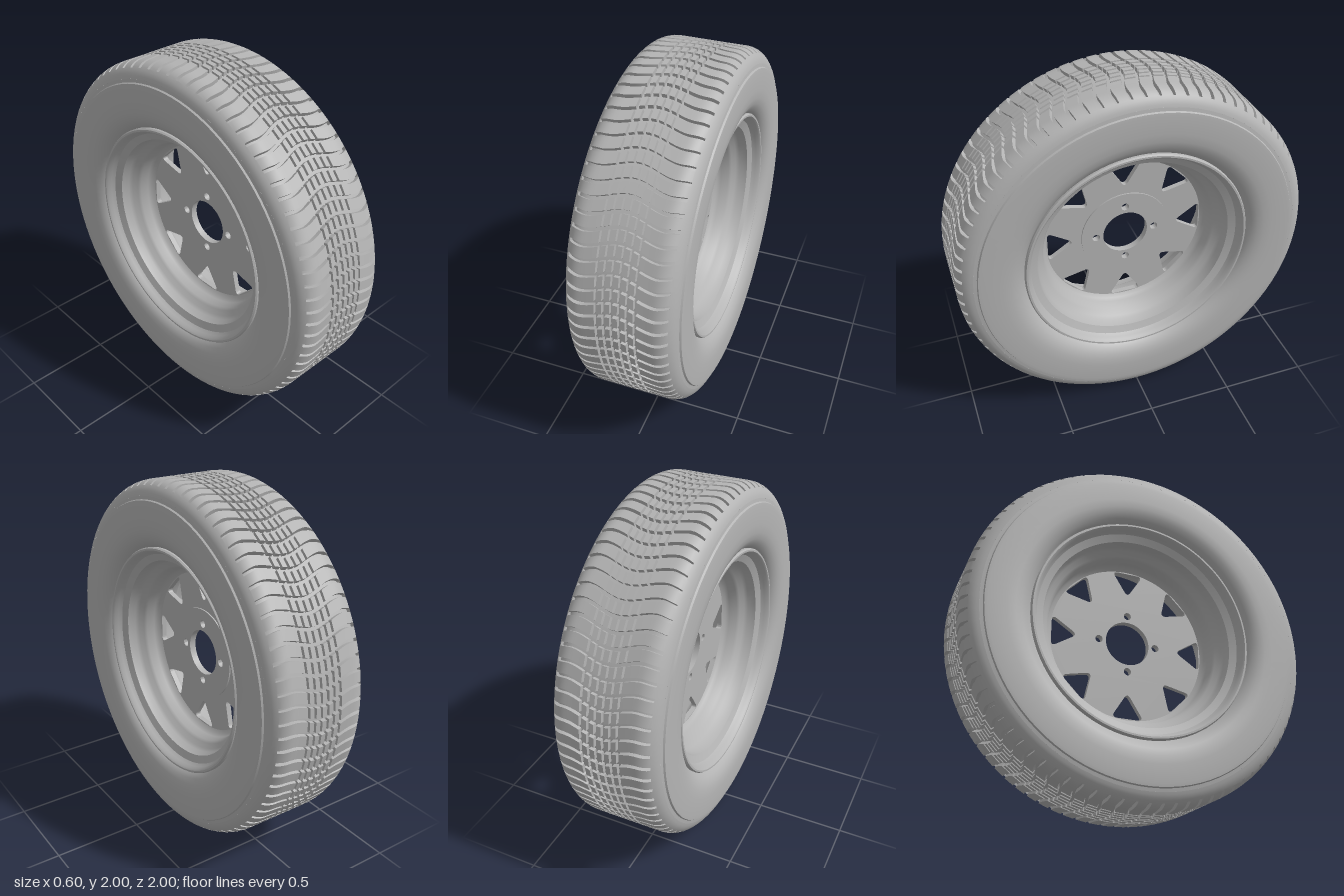
import * as THREE from 'three';
import { toCreasedNormals } from 'three/addons/utils/BufferGeometryUtils.js';

const grey = new THREE.MeshStandardMaterial({ color: 0xb4b4b4, side: THREE.DoubleSide });
grey.name = 'grey';

function part(name, geometry, crease = 0.5) {
  const mesh = new THREE.Mesh(toCreasedNormals(geometry, crease), grey);
  mesh.name = name;
  return mesh;
}

// Revolve a profile of [x, radius] pairs around the x axis
function revolve(name, profile) {
  const pts = profile.map(([x, r]) => new THREE.Vector2(r, x));
  const geometry = new THREE.LatheGeometry(pts, 96);
  geometry.rotateZ(-Math.PI / 2);
  return part(name, geometry);
}

const mirrored = (profile) => profile.map(([x, r]) => [-x, r]).reverse();

// Tread: a grid whose rows follow the wavy cross grooves
function treadGeometry() {
  const pitches = 84, depth = 0.022, wall = 0.0015, grooveWidth = 0.02;
  const half = [];
  for (const c of [0.02, 0.06, 0.1]) {
    half.push([c - 0.007, 0], [c - 0.006, 1], [c + 0.006, 1], [c + 0.007, 0]);
  }
  for (const x of [0.125, 0.145, 0.165, 0.19, 0.21, 0.23, 0.245, 0.258, 0.26, 0.27, 0.278, 0.284, 0.288]) {
    half.push([x, 0]);
  }
  const columns = [...half.map(([x, d]) => [-x, d]).reverse(), ...half];

  const radius = (x) => {
    const t = Math.max(0, Math.abs(x) - 0.19) / 0.1;
    return 0.9 + 0.1 * Math.sqrt(Math.max(0, 1 - t * t));
  };
  const wave = (x) => {
    const a = Math.abs(x);
    return a < 0.2 ? 0.023 * (1 + Math.cos(Math.PI * a / 0.2)) : 0.15 * (a - 0.2);
  };

  const rows = [[0, 0], [wall, 1], [grooveWidth - wall, 1], [grooveWidth, 0]];
  const positions = [], index = [];
  const n = columns.length, total = pitches * rows.length;
  for (let i = 0; i < total; i++) {
    const [s, cross] = rows[i % rows.length];
    const start = Math.floor(i / rows.length) * 2 * Math.PI / pitches;
    for (let j = 0; j < n; j++) {
      const [x, ring] = columns[j];
      const cut = ring || (cross && Math.abs(x) < 0.259);
      const r = radius(x) - (cut ? depth : 0);
      const angle = start + s + wave(x);
      positions.push(x, r * Math.sin(angle), r * Math.cos(angle));
      if (j < n - 1) {
        const a = i * n + j, d = ((i + 1) % total) * n + j;
        index.push(a, a + 1, d + 1, a, d + 1, d);
      }
    }
  }
  const geometry = new THREE.BufferGeometry();
  geometry.setAttribute('position', new THREE.Float32BufferAttribute(positions, 3));
  geometry.setIndex(index);
  return geometry;
}

function circlePath(x, y, r) {
  return new THREE.Path().absarc(x, y, r, 0, Math.PI * 2, true);
}

// Rounded triangular window pointing at the hub
function windowPath(angle) {
  const corners = [[0.456, 0.097], [0.456, -0.097], [0.303, 0]].map(([x, y]) =>
    new THREE.Vector2(x, y).rotateAround(new THREE.Vector2(), angle));
  const path = new THREE.Path();
  corners.forEach((p, i) => {
    const before = p.clone().lerp(corners[(i + 2) % 3], 0.2);
    const after = p.clone().lerp(corners[(i + 1) % 3], 0.2);
    if (i === 0) path.moveTo(before.x, before.y);
    else path.lineTo(before.x, before.y);
    path.quadraticCurveTo(p.x, p.y, after.x, after.y);
  });
  path.closePath();
  return path;
}

// Flat plate across the axle with the centre bore and bolt holes
function plate(name, radius, x, thickness, windows) {
  const shape = new THREE.Shape().absarc(0, 0, radius, 0, Math.PI * 2, false);
  shape.holes.push(circlePath(0, 0, 0.132));
  for (let i = 0; i < 4; i++) {
    const a = i * Math.PI / 2;
    shape.holes.push(circlePath(0.174 * Math.cos(a), 0.174 * Math.sin(a), 0.022));
  }
  for (let i = 0; i < windows; i++) shape.holes.push(windowPath(i * 2 * Math.PI / windows));
  const geometry = new THREE.ExtrudeGeometry(shape, {
    depth: thickness, bevelEnabled: false, curveSegments: 32,
  });
  geometry.rotateY(Math.PI / 2);
  geometry.translate(x, 0, 0);
  return part(name, geometry);
}

export function createModel() {
  const model = new THREE.Group();
  model.name = 'wheel';
  const wheel = new THREE.Group();
  wheel.name = 'tyreAndRim';
  wheel.position.y = 1;
  model.add(wheel);

  // Tyre
  wheel.add(part('tread', treadGeometry()));
  const sidewall = [
    [0.288, 0.92], [0.291, 0.902], [0.3, 0.897], [0.302, 0.88], [0.302, 0.78], [0.299, 0.735],
    [0.29, 0.7], [0.274, 0.67], [0.255, 0.652], [0.235, 0.64],
  ];
  wheel.add(revolve('leftSidewall', sidewall));
  wheel.add(revolve('rightSidewall', mirrored(sidewall)));

  // Rim: flange, bead seat, drop and fillet down to the centre disc
  const rim = [
    [0.235, 0.642], [0.255, 0.643], [0.264, 0.637], [0.264, 0.627], [0.255, 0.618], [0.235, 0.612],
    [0.215, 0.6], [0.203, 0.575], [0.196, 0.56], [0.15, 0.552], [0.13, 0.54], [0.11, 0.515],
    [0.095, 0.503], [0.05, 0.494], [0.03, 0.484], [0.015, 0.464],
  ];
  wheel.add(revolve('leftRim', rim));
  wheel.add(revolve('rightRim', mirrored(rim)));

  // Centre disc and raised hub plate
  wheel.add(plate('centreDisc', 0.49, -0.015, 0.03, 8));
  wheel.add(plate('hubPlate', 0.26, 0.015, 0.008, 0));
  return model;
}
